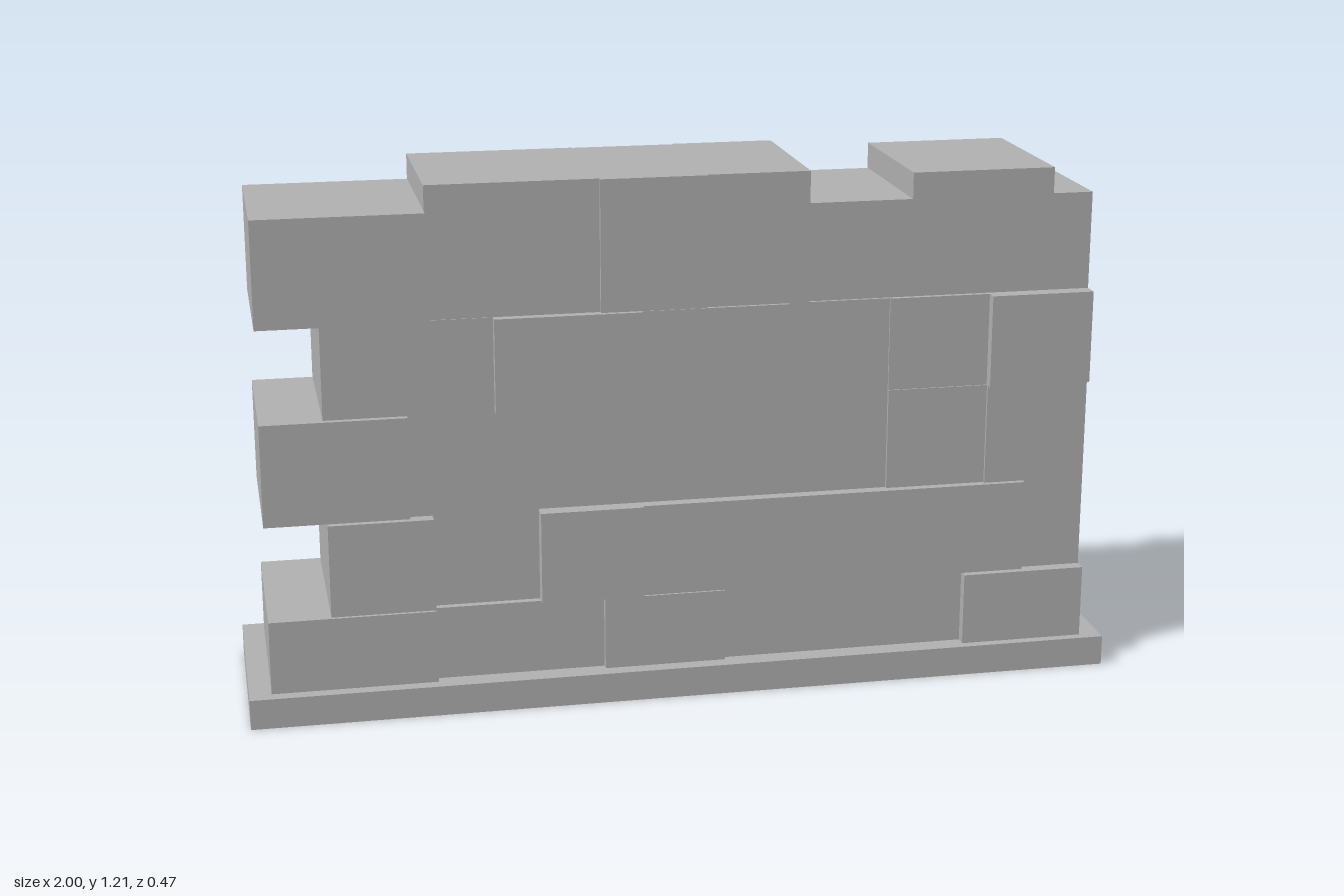
import * as THREE from 'three';

export function createModel() {
  const wall = new THREE.Group();
  wall.name = 'stoneWall';
  const stone = new THREE.MeshStandardMaterial({ color: 0xb0b0b0 });
  stone.name = 'stone grey';

  // Box given by its limits on each axis
  function block(name, x0, x1, y0, y1, back, front, parent) {
    const mesh = new THREE.Mesh(new THREE.BoxGeometry(x1 - x0, y1 - y0, front - back), stone);
    mesh.position.set((x0 + x1) / 2, (y0 + y1) / 2, (back + front) / 2);
    mesh.name = name;
    parent.add(mesh);
  }

  block('basePlinth', -1, 1, 0, 0.07, -0.237, 0.237, wall);

  // Courses from bottom to top; each stone is [x0, x1, back, front, own top]
  const courses = [
    { y0: 0.07, y1: 0.24, stones: [
      [-0.95, -0.575, -0.2, 0.208], [-0.575, -0.19, -0.208, 0.187], [-0.19, 0.09, -0.185, 0.203],
      [0.09, 0.66, -0.21, 0.19], [0.66, 0.95, -0.163, 0.215]] },
    { y0: 0.24, y1: 0.455, stones: [
      [-0.81, -0.575, -0.19, 0.2], [-0.575, -0.335, -0.205, 0.17], [-0.335, -0.1, -0.172, 0.207],
      [-0.1, 0.805, -0.187, 0.198], [0.805, 0.95, -0.197, 0.185]] },
    { y0: 0.455, y1: 0.69, stones: [
      [-0.95, -0.625, -0.195, 0.185], [-0.625, 0.09, -0.205, 0.17], [0.09, 0.475, -0.208, 0.17],
      [0.475, 0.71, -0.198, 0.178], [0.71, 0.95, -0.205, 0.185]] },
    { y0: 0.69, y1: 0.905, stones: [
      [-0.81, -0.43, -0.2, 0.17], [-0.43, -0.1, -0.212, 0.19], [-0.1, 0.24, -0.216, 0.18],
      [0.24, 0.475, -0.205, 0.17], [0.475, 0.71, -0.213, 0.175], [0.71, 0.95, -0.18, 0.2]] },
    { y0: 0.905, y1: 1.205, stones: [
      [-0.95, -0.575, -0.202, 0.19, 1.148], [-0.575, -0.19, -0.21, 0.168], [-0.19, 0.05, -0.207, 0.178],
      [0.05, 0.285, -0.213, 0.172], [0.285, 0.95, -0.213, 0.163, 1.13]] },
  ];
  courses.forEach(({ y0, y1, stones }, i) => {
    const course = new THREE.Group();
    course.name = `course${i + 1}`;
    stones.forEach(([x0, x1, back, front, top = y1], j) =>
      block(`stone${j + 1}`, x0, x1, y0, top, back, front, course));
    wall.add(course);
  });

  // Loose stone on the top right
  block('capStone', 0.525, 0.857, 1.13, 1.19, -0.217, 0.163, wall);
  return wall;
}
